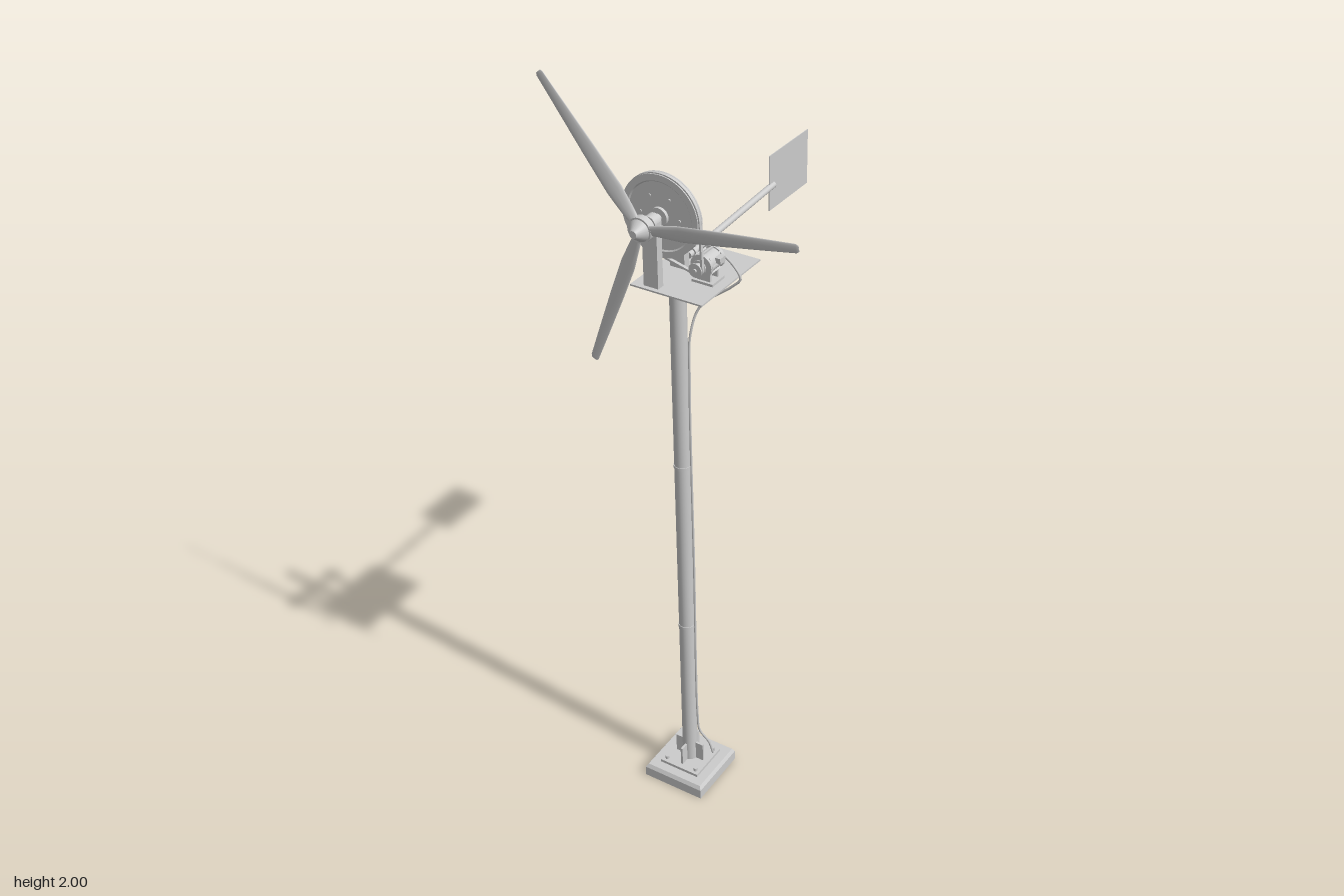
import * as THREE from 'three';

const X = -0.07, Z = 0.21, AXIS = 1.69, DECK = 1.536; // mast position, shaft height, deck top

export function createModel() {
  const root = new THREE.Group();
  const mat = new THREE.MeshStandardMaterial({ color: 0xcccccc });
  const thin = new THREE.MeshStandardMaterial({ color: 0xcccccc, side: THREE.DoubleSide });

  const add = (name, geo, x = 0, y = 0, z = 0, material = mat) => {
    const m = new THREE.Mesh(geo, material);
    m.name = name;
    m.position.set(x, y, z);
    root.add(m);
    return m;
  };
  const box = (name, w, h, d, x, y, z) => add(name, new THREE.BoxGeometry(w, h, d), x, y, z);
  const cyl = (name, r, h, x, y, z, seg = 24, rTop = r) =>
    add(name, new THREE.CylinderGeometry(rTop, r, h, seg), x, y, z);
  // cylinder lying along z, rTop towards the front
  const cylZ = (name, r, len, x, y, z, seg = 24, rTop = r) => {
    const m = cyl(name, r, len, x, y, z, seg, rTop);
    m.rotation.x = Math.PI / 2;
    return m;
  };

  // foundation block with chamfered top
  box('foundation', 0.175, 0.028, 0.175, X, 0.014, Z);
  const chamfer = cyl('foundationTop', 0.175 / Math.SQRT2, 0.01, X, 0.033, Z, 4, 0.163 / Math.SQRT2);
  chamfer.geometry = chamfer.geometry.toNonIndexed();
  chamfer.geometry.computeVertexNormals();
  chamfer.rotation.y = Math.PI / 4;
  box('footPlate', 0.115, 0.008, 0.115, X, 0.042, Z);
  box('gusset', 0.084, 0.055, 0.006, X, 0.0725, Z);
  box('gusset', 0.006, 0.055, 0.084, X, 0.0725, Z);
  for (const i of [-1, 1]) for (const j of [-1, 1])
    cyl('anchorBolt', 0.005, 0.012, X + i * 0.045, 0.05, Z + j * 0.045, 6);

  // mast with joint rings and top collar
  cyl('mast', 0.02, 1.48, X, 0.785, Z);
  for (const y of [0.505, 1.0]) cyl('mastJoint', 0.0215, 0.008, X, y, Z);
  cyl('mastCollar', 0.028, 0.03, X, 1.518, Z);

  // deck
  box('deck', 0.186, 0.004, 0.245, -0.025, DECK - 0.002, 0.2025);

  // shaft, posts and pillow bearings
  cylZ('mainShaft', 0.009, 0.165, X, AXIS, 0.2525);
  for (const z of [0.199, 0.304]) {
    box('bearingPost', 0.038, 0.138, 0.02, X, DECK + 0.069, z);
    box('bearingFoot', 0.066, 0.007, 0.025, X, 1.6775, z);
    box('bearingBody', 0.036, 0.014, 0.024, X, 1.686, z);
    cylZ('bearingCap', 0.018, 0.024, X, AXIS, z);
    for (const s of [-1, 1]) cyl('bearingBolt', 0.004, 0.007, X + s * 0.026, 1.684, z, 6);
  }

  // large grooved wheel
  const rim = [[0.009, -0.015], [0.022, -0.015], [0.022, -0.007], [0.08, -0.007], [0.083, -0.01],
    [0.098, -0.01], [0.098, -0.007], [0.093, -0.003], [0.093, 0.003], [0.098, 0.007], [0.098, 0.01],
    [0.083, 0.01], [0.08, 0.007], [0.022, 0.007], [0.022, 0.015], [0.009, 0.015]];
  const profile = [];
  rim.forEach(([r, y], i) => { // doubled points keep the edges sharp
    if (i) profile.push(new THREE.Vector2(rim[i - 1][0], rim[i - 1][1]), new THREE.Vector2(r, y));
  });
  const wheel = add('drivenWheel', new THREE.LatheGeometry(profile, 48), X, AXIS, 0.263);
  wheel.rotation.x = Math.PI / 2;
  for (let i = 0; i < 6; i++) {
    const a = i * Math.PI / 3;
    cylZ('wheelBolt', 0.004, 0.02, X + 0.05 * Math.cos(a), AXIS + 0.05 * Math.sin(a), 0.263, 6);
  }

  // generator with end caps, ribs, feet and small pulley
  const gx = 0.018, gy = 1.582;
  cylZ('generatorBody', 0.024, 0.052, gx, gy, 0.22);
  for (const z of [0.195, 0.244]) cylZ('generatorCap', 0.027, 0.009, gx, gy, z);
  cylZ('generatorBoss', 0.01, 0.012, gx - 0.002, gy, 0.187);
  cylZ('generatorShaft', 0.005, 0.035, gx, gy, 0.259);
  for (const z of [0.255, 0.271]) cylZ('pulleyFlange', 0.017, 0.003, gx, gy, z);
  cylZ('pulleyCore', 0.012, 0.016, gx, gy, 0.263);
  for (let i = 0; i < 8; i++) {
    const a = i * Math.PI / 4;
    const rib = box('generatorRib', 0.006, 0.004, 0.045, gx + 0.025 * Math.cos(a), gy + 0.025 * Math.sin(a), 0.22);
    rib.rotation.z = a;
  }
  box('generatorBase', 0.054, 0.006, 0.05, gx, DECK + 0.003, 0.22);
  for (const z of [0.205, 0.235]) box('generatorFoot', 0.034, 0.03, 0.006, gx, DECK + 0.015, z);
  box('terminalBox', 0.014, 0.014, 0.022, gx + 0.027, gy + 0.008, 0.212);

  // belt around both wheels
  const dx = gx - X, dy = gy - AXIS, heading = Math.atan2(dy, dx);
  const spread = Math.acos((0.099 - 0.016) / Math.hypot(dx, dy));
  const loop = (path, inset) => {
    path.absarc(X, AXIS, 0.099 - inset, heading + spread, heading - spread + 2 * Math.PI, false);
    path.absarc(gx, gy, 0.016 - inset, heading - spread, heading + spread, false);
    path.closePath();
    return path;
  };
  const belt = loop(new THREE.Shape(), 0);
  belt.holes.push(loop(new THREE.Path(), 0.005));
  add('belt', new THREE.ExtrudeGeometry(belt, { depth: 0.008, bevelEnabled: false, curveSegments: 40 }), 0, 0, 0.259);

  // rotor hub and nose cone
  cylZ('rotorHub', 0.03, 0.018, X, AXIS, 0.342);
  cylZ('noseCone', 0.026, 0.023, X, AXIS, 0.3625, 24, 0.009);

  // blades: twisted lens sections along +x [span, chord, thickness, twist]
  const stations = [[0.015, 0.022, 0.012, 0.25], [0.05, 0.032, 0.009, 0.24], [0.1, 0.041, 0.007, 0.18],
    [0.2, 0.036, 0.006, 0.12], [0.3, 0.028, 0.005, 0.06], [0.384, 0.021, 0.003, 0.02], [0.39, 0.014, 0.002, 0.02]];
  const n = 12, pos = [], index = [];
  stations.forEach(([x, chord, thick, twist], s) => {
    for (let i = 0; i < n; i++) {
      const a = i / n * 2 * Math.PI;
      const c = Math.cos(a) * chord / 2, t = Math.sin(a) * thick / 2;
      pos.push(x, c * Math.cos(twist) - t * Math.sin(twist), c * Math.sin(twist) + t * Math.cos(twist));
      const j = (i + 1) % n, p = s * n;
      if (s) index.push(p - n + i, p - n + j, p + j, p - n + i, p + j, p + i);
    }
  });
  const tip = (stations.length - 1) * n;
  for (let i = 1; i < n - 1; i++) index.push(tip, tip + i, tip + i + 1);
  const bladeGeo = new THREE.BufferGeometry();
  bladeGeo.setAttribute('position', new THREE.Float32BufferAttribute(pos, 3));
  bladeGeo.setIndex(index);
  bladeGeo.computeVertexNormals();
  for (let i = 0; i < 3; i++)
    add('blade', bladeGeo, X, AXIS, 0.345, thin).rotation.z = (8.7 + 120 * i) * Math.PI / 180;

  // tail boom, clamps and vane
  const from = new THREE.Vector3(X, 1.546, 0.163), to = new THREE.Vector3(X, 1.566, -0.213);
  const boom = cyl('tailBoom', 0.008, from.distanceTo(to), 0, 0, 0, 20);
  boom.position.lerpVectors(from, to, 0.5);
  boom.quaternion.setFromUnitVectors(new THREE.Vector3(0, 1, 0), to.clone().sub(from).normalize());
  for (const z of [0.101, 0.145]) {
    const y = 1.546 + (0.163 - z) * 0.053;
    cylZ('boomClamp', 0.012, 0.009, X, y, z);
    box('boomClampFoot', 0.024, 0.008, 0.009, X, DECK + 0.004, z);
  }
  box('tailVane', 0.002, 0.143, 0.183, X, 1.5755, -0.2835);

  // power cable down the mast
  const route = [[0.04, 1.59, 0.19], [0.058, 1.565, 0.18], [0.075, 1.533, 0.176], [0.055, 1.51, 0.178],
    [-0.025, 1.44, 0.188], [-0.043, 1.37, 0.203], [-0.047, 1.25, 0.205], [-0.047, 0.7, 0.205],
    [-0.047, 0.2, 0.205], [-0.045, 0.14, 0.2], [-0.028, 0.09, 0.182], [-0.02, 0.038, 0.172]];
  const curve = new THREE.CatmullRomCurve3(route.map(p => new THREE.Vector3(...p)), false, 'centripetal');
  add('cable', new THREE.TubeGeometry(curve, 160, 0.003, 8), 0, 0, 0);

  return root;
}
